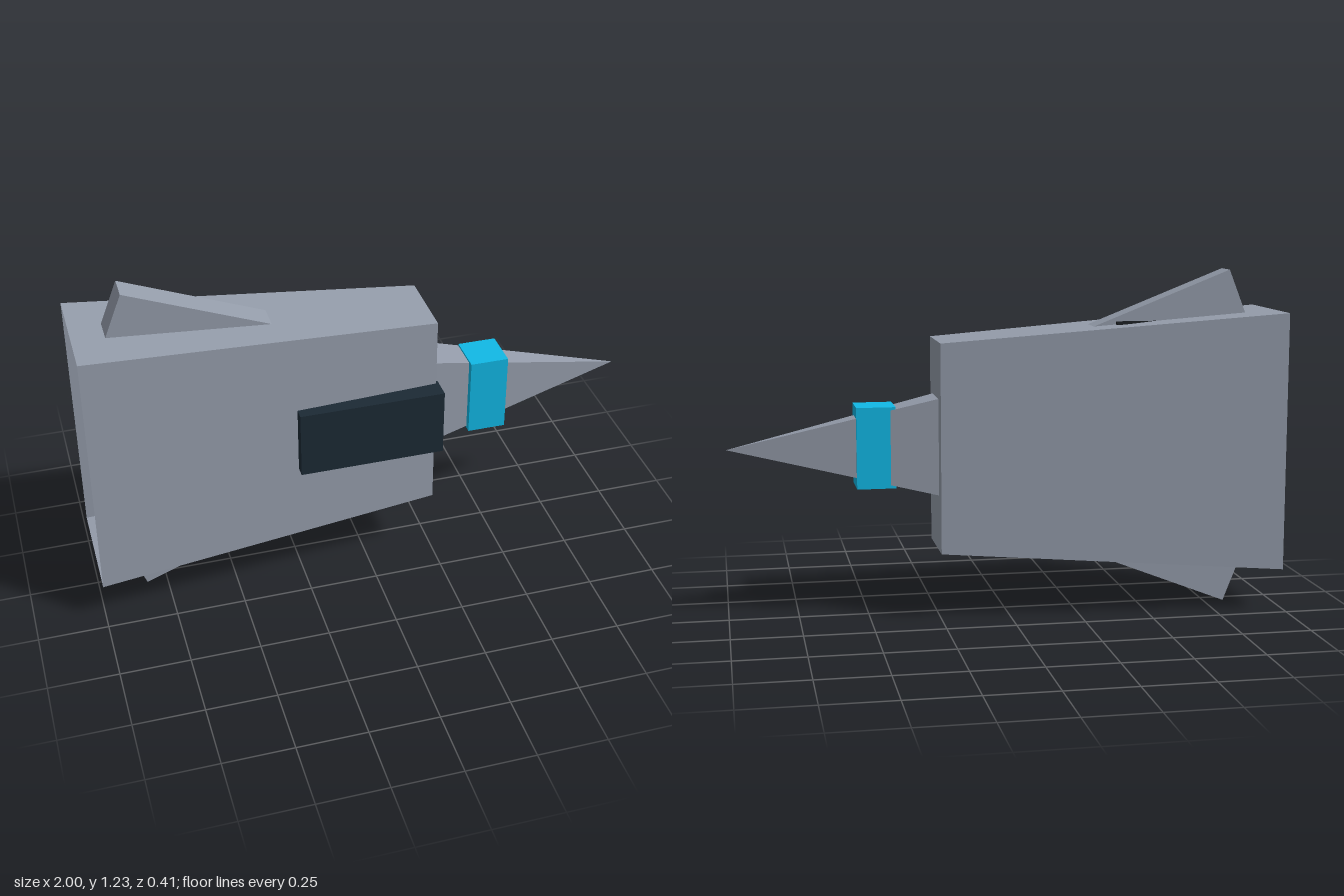
import * as THREE from 'three';

const MID = 0.62; // height of the craft's long axis

const paint = (color) => new THREE.MeshStandardMaterial({ color, flatShading: true, side: THREE.DoubleSide });

function add(parent, name, geometry, material, x = 0, y = 0, z = 0) {
  const mesh = new THREE.Mesh(geometry, material);
  mesh.name = name;
  mesh.position.set(x, y, z);
  parent.add(mesh);
  return mesh;
}

// Rectangular shell tapering along x, built from two end sections {x, h, d}
function taper(a, b) {
  const section = ({ x, h, d }) => [[x, -h, -d], [x, -h, d], [x, h, d], [x, h, -d]];
  const corners = [...section(a), ...section(b)];
  const quads = [[4, 7, 6, 5]]; // cap on the forward end, rear left open
  for (let i = 0; i < 4; i++) {
    const j = (i + 1) % 4;
    quads.push([i, i + 4, j + 4, j]);
  }
  const points = quads.flatMap(([p, q, r, s]) => [p, q, r, p, r, s]).flatMap((i) => corners[i]);
  const geometry = new THREE.BufferGeometry();
  geometry.setAttribute('position', new THREE.Float32BufferAttribute(points, 3));
  geometry.computeVertexNormals();
  return geometry;
}

export function createModel() {
  const model = new THREE.Group();
  model.name = 'spacecraft';
  const grey = paint(0x959dab);
  const navy = paint(0x1c2a35);
  const black = paint(0x14171a);
  const cyan = paint(0x11b9e6);

  // Hull, open at the rear
  add(model, 'hull', taper({ x: -1, h: 0.469, d: 0.205 }, { x: 0.25, h: 0.376, d: 0.135 }), grey, 0, MID, 0);

  // Four-sided nose cone
  const nose = new THREE.ConeGeometry(Math.SQRT1_2, 0.75, 4, 1).toNonIndexed();
  nose.rotateY(Math.PI / 4).rotateZ(-Math.PI / 2).scale(1, 0.35, 0.155);
  nose.computeVertexNormals();
  add(model, 'nose', nose, grey, 0.62, MID, 0);

  // Collar round the nose and panel on the front side
  add(model, 'collar', new THREE.BoxGeometry(0.14, 0.292, 0.145), cyan, 0.47, MID, 0.013);
  add(model, 'sidePanel', new THREE.BoxGeometry(0.525, 0.25, 0.083), navy, -0.0025, MID, 0.162);

  // Mirrored engine and fin, above and below the axis
  for (const side of [1, -1]) {
    const label = side > 0 ? 'upper' : 'lower';

    const barrel = new THREE.CylinderGeometry(0.11, 0.11, 0.54, 12).rotateZ(Math.PI / 2);
    add(model, label + 'Engine', barrel, black, -0.67, MID + side * 0.333, -0.02);

    const glow = new THREE.CylinderGeometry(0.075, 0.075, 0.02, 16).rotateZ(Math.PI / 2);
    add(model, label + 'EngineGlow', glow, cyan, -0.935, MID + side * 0.333, -0.02);

    // Slanted fin, hung from its outermost rear corner
    const fin = new THREE.BoxGeometry(0.6, 0.3, 0.095).translate(0.3, -side * 0.15, 0);
    const mesh = add(model, label + 'Fin', fin, grey, -0.824, MID + side * 0.617, 0);
    mesh.rotation.z = -side * 0.375;
  }
  return model;
}
